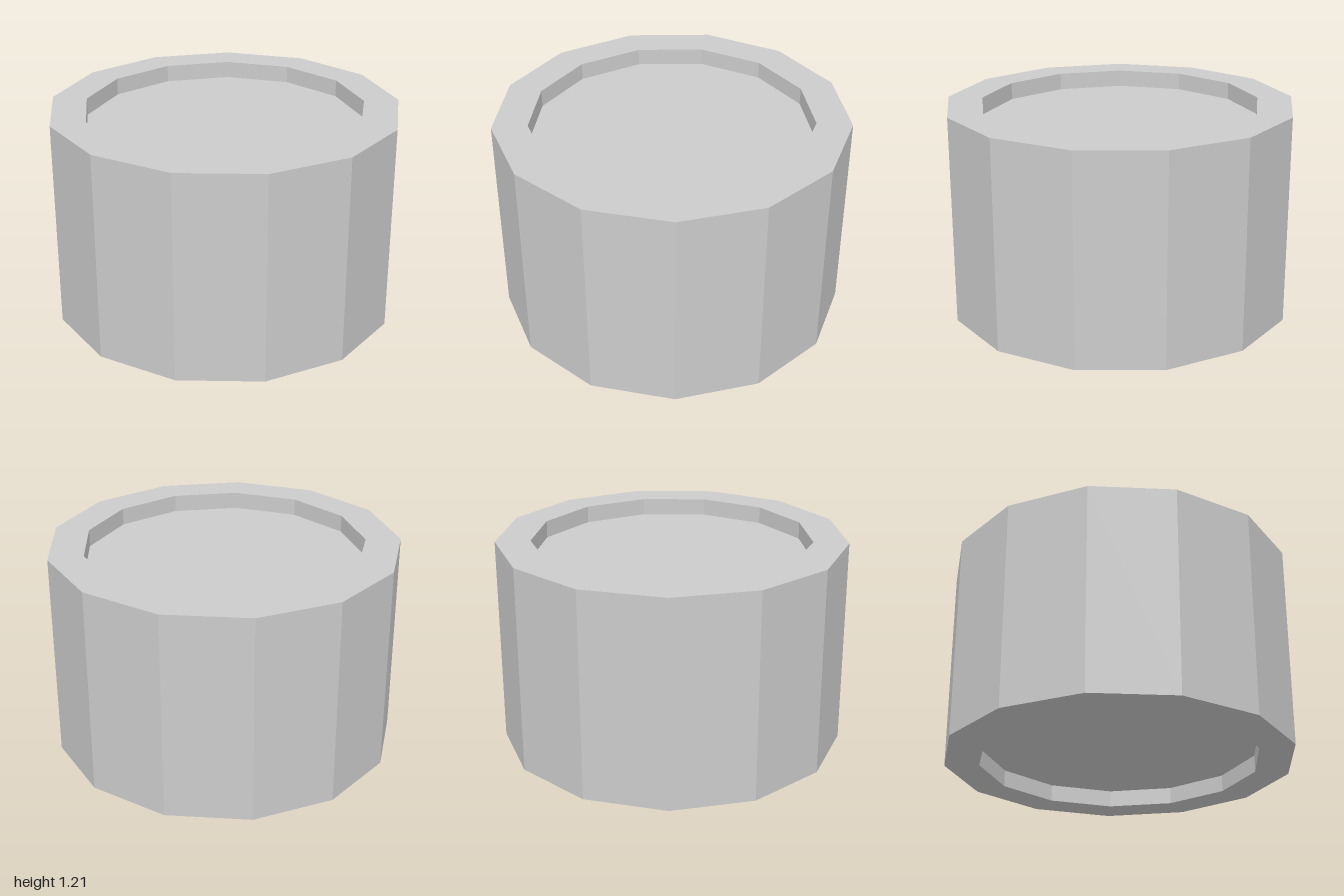
import * as THREE from 'three';

const SIDES = 13;
const RADIUS = 1.007;
const INNER = RADIUS * 0.8;
const HEIGHT = 1.21;
const RECESS = 0.1;

export function createModel() {
  const group = new THREE.Group();
  group.name = 'recessedDrum';
  const material = new THREE.MeshStandardMaterial({ color: 0xcccccc, flatShading: true });

  // Half section from the bottom centre, round the wall, to the top centre
  const profile = [
    [0, RECESS], [INNER, RECESS], [INNER, 0], [RADIUS, 0],
    [RADIUS, HEIGHT], [INNER, HEIGHT], [INNER, HEIGHT - RECESS], [0, HEIGHT - RECESS],
  ].map(([r, y]) => new THREE.Vector2(r, y));

  // Drum with a shallow recess in both ends, one corner pointing to the back
  const drum = new THREE.Mesh(new THREE.LatheGeometry(profile, SIDES, Math.PI), material);
  drum.name = 'drum';
  // An odd-sided polygon is deeper at its corner, so shift it to centre its depth
  drum.position.z = RADIUS * (1 - Math.cos(Math.PI / SIDES)) / 2;
  group.add(drum);

  return group;
}
